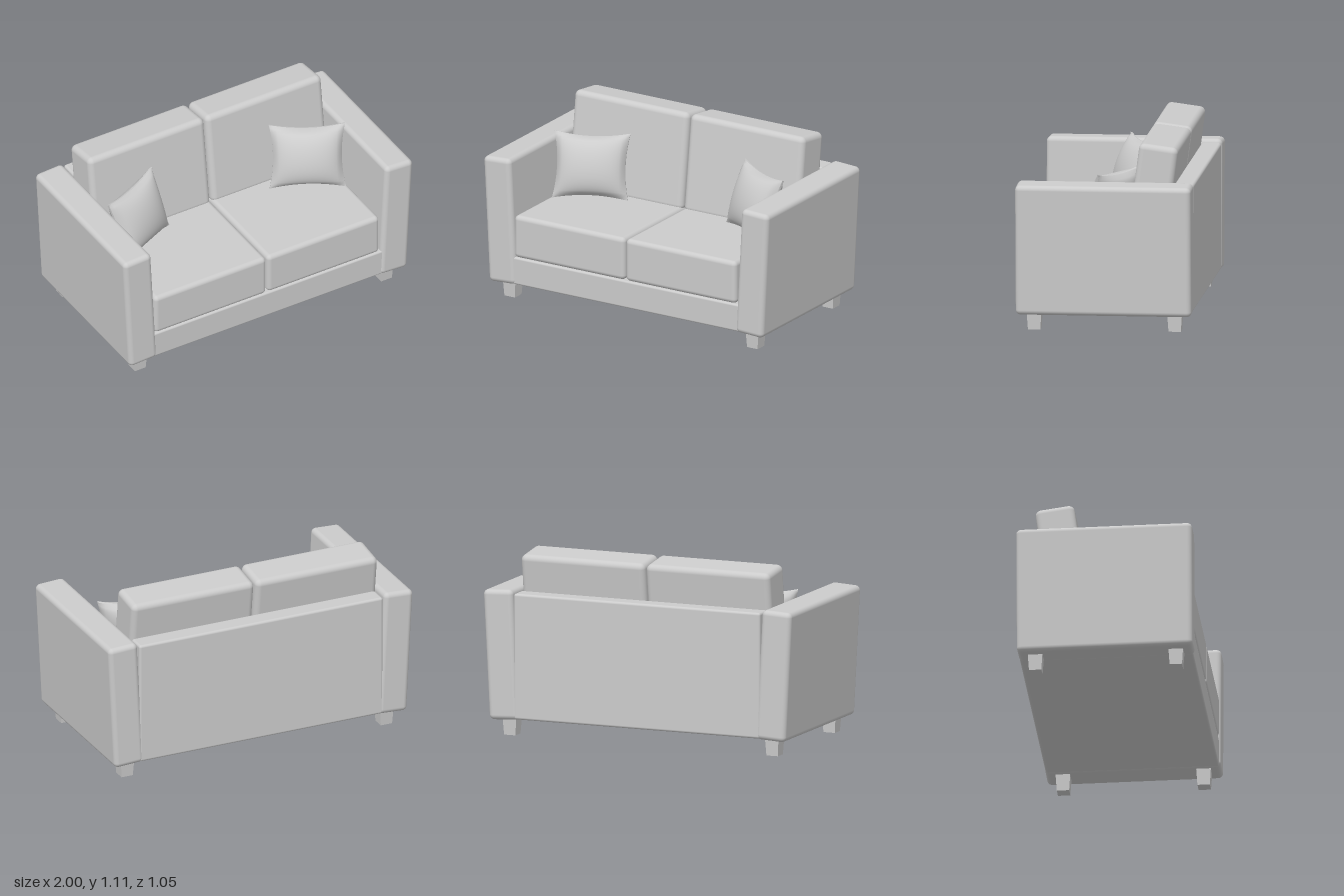
import * as THREE from 'three';
import { RoundedBoxGeometry } from 'three/addons/geometries/RoundedBoxGeometry.js';

const material = new THREE.MeshStandardMaterial({ color: 0xcccccc });

function add(parent, name, geometry, x, y, z) {
  const mesh = new THREE.Mesh(geometry, material);
  mesh.name = name;
  mesh.position.set(x, y, z);
  parent.add(mesh);
  return mesh;
}

const padded = (w, h, d, r) => new RoundedBoxGeometry(w, h, d, 4, r);

// Square pillow: swollen middle, thin seams, edges drawn in between the corners
function pillowGeometry(w, h, thickness) {
  const seam = 0.012;
  const geometry = new THREE.BoxGeometry(2, 2, 2, 20, 20, 1);
  const p = geometry.attributes.position;
  for (let i = 0; i < p.count; i++) {
    const u = p.getX(i), v = p.getY(i), side = Math.sign(p.getZ(i));
    const swell = Math.pow((1 - u * u) * (1 - v * v), 0.55);
    p.setXYZ(i,
      u * w / 2 * (1 - 0.1 * u * u * (1 - v * v)),
      v * h / 2 * (1 - 0.12 * v * v * (1 - u * u)),
      side * (seam + (thickness - seam) * swell) / 2);
  }
  geometry.computeVertexNormals();
  return geometry;
}

export function createModel() {
  const sofa = new THREE.Group();
  sofa.name = 'sofa';

  // Frame
  add(sofa, 'base', padded(1.6, 0.17, 1.03, 0.012), 0, 0.192, 0);
  add(sofa, 'backPanel', padded(1.6, 0.76, 0.12, 0.015), 0, 0.488, -0.462);

  // Legs: tapered square blocks
  const legGeometry = new THREE.CylinderGeometry(0.045 * Math.SQRT2, 0.037 * Math.SQRT2, 0.12, 4, 1)
    .rotateY(Math.PI / 4).toNonIndexed();
  legGeometry.computeVertexNormals();

  for (const side of [-1, 1]) {
    const label = side > 0 ? 'left' : 'right';

    // Arm, leaning outward
    const arm = add(sofa, label + 'Arm', padded(0.19, 0.785, 1.05, 0.03), side * 0.886, 0.4915, 0);
    arm.rotation.z = -side * 0.052;

    // Cushions
    const mid = -0.008;
    add(sofa, label + 'SeatCushion', padded(0.775, 0.265, 0.84, 0.028), mid + side * 0.391, 0.41, 0.098);
    const back = add(sofa, label + 'BackCushion', padded(0.802, 0.6, 0.235, 0.035),
      mid + side * 0.406, 0.803, -0.276);
    back.rotation.x = -0.13;

    // Legs
    for (const [end, z] of [['Front', 0.42], ['Back', -0.42]]) {
      add(sofa, label + end + 'Leg', legGeometry, side * 0.852, 0.06, z);
    }

    // Scatter pillow, turned towards the middle and leaning back
    const pillow = add(sofa, label + 'Pillow', pillowGeometry(0.455, 0.4, 0.19),
      side * 0.58, 0.733, side > 0 ? -0.005 : -0.022);
    pillow.rotation.set(-0.32, side > 0 ? -0.49 : 0.43, 0, 'YXZ');
  }

  return sofa;
}
